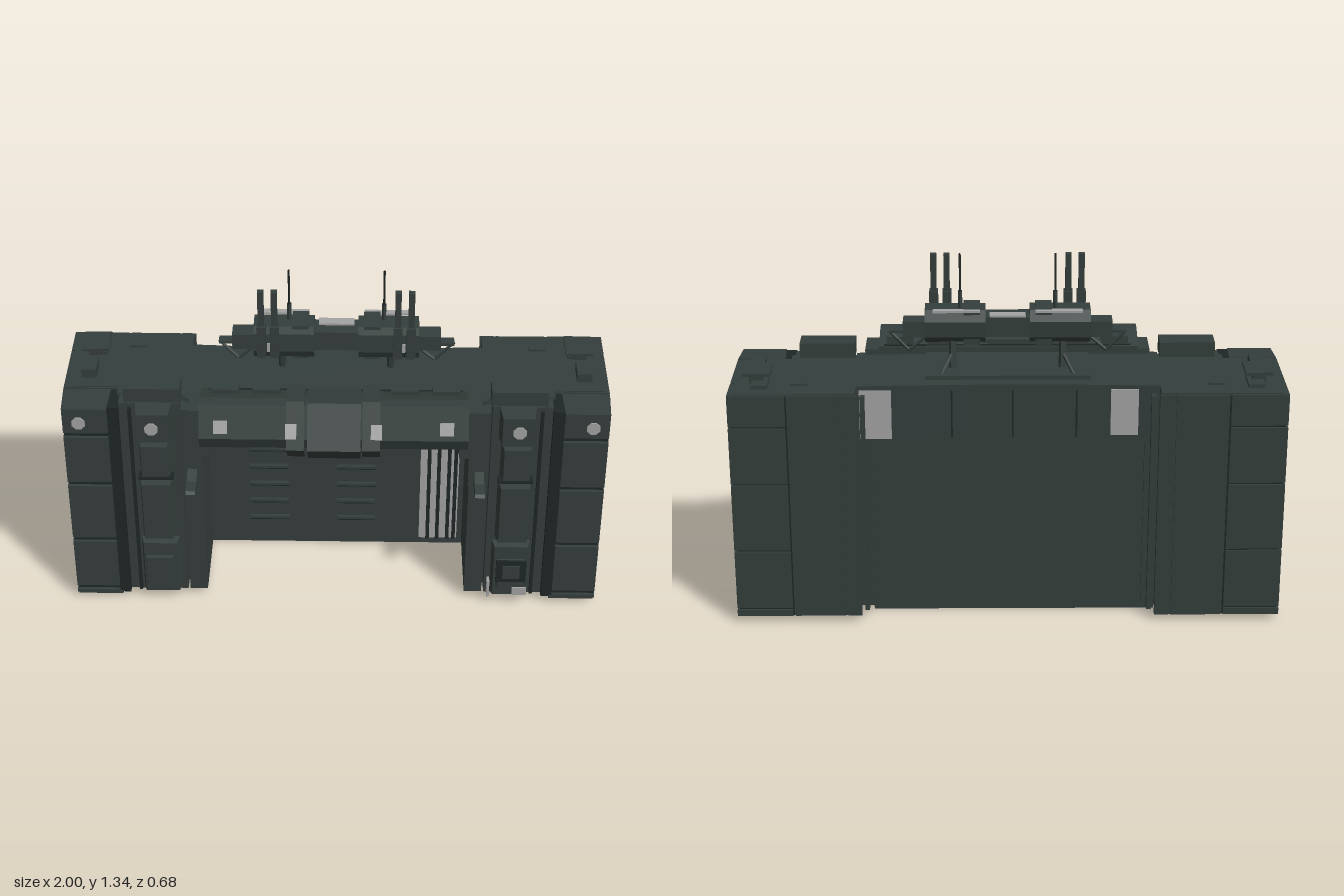
import * as THREE from 'three';

const mat = (name, color) => {
  const m = new THREE.MeshStandardMaterial({ color, side: THREE.DoubleSide, flatShading: true });
  m.name = name;
  return m;
};

export function createModel() {
  const root = new THREE.Group();
  const armor = mat('dark green grey armor', 0x343e3c);
  const seam = mat('dark seam', 0x1f2625);
  const pale = mat('pale grey', 0xa3a3a3);

  const add = (name, geo, m = armor) => {
    const mesh = new THREE.Mesh(geo, m);
    mesh.name = name;
    root.add(mesh);
    return mesh;
  };
  // Box given by its extents
  const box = (name, x0, x1, y0, y1, z0, z1, m) =>
    add(name, new THREE.BoxGeometry(Math.abs(x1 - x0), y1 - y0, z1 - z0)
      .translate((x0 + x1) / 2, (y0 + y1) / 2, (z0 + z1) / 2), m);
  // The same box on both sides
  const pair = (name, x0, x1, ...rest) => {
    for (const s of [-1, 1]) box(name, s * x0, s * x1, ...rest);
  };
  // Box whose front face is chamfered inward by c
  const panel = (name, x0, x1, y0, y1, z0, z1, c = 0.012) => {
    const w = x1 - x0, h = y1 - y0;
    for (const s of [-1, 1]) {
      const g = new THREE.BoxGeometry(w, h, z1 - z0);
      const p = g.attributes.position;
      for (let i = 0; i < p.count; i++) {
        if (p.getZ(i) > 0) p.setXY(i, p.getX(i) * (1 - 2 * c / w), p.getY(i) * (1 - 2 * c / h));
      }
      g.computeVertexNormals();
      add(name, g.translate(s * (x0 + x1) / 2, (y0 + y1) / 2, (z0 + z1) / 2));
    }
  };
  // Side profile in (z, y), extruded from x0 to x1
  const profile = (name, pts, x0, x1, m) => {
    const shape = new THREE.Shape(pts.map(([z, y]) => new THREE.Vector2(z, y)));
    const g = new THREE.ExtrudeGeometry(shape, { depth: x1 - x0, bevelEnabled: false });
    return add(name, g.rotateY(-Math.PI / 2).translate(x1, 0, 0), m);
  };
  const tube = (name, a, b, r, sides = 6, m = armor) => {
    const p = new THREE.Vector3(...a), q = new THREE.Vector3(...b);
    return add(name, new THREE.TubeGeometry(new THREE.LineCurve3(p, q), 1, r, sides), m);
  };

  // Outer towers: dark core clad in a grid of plates
  pair('towerCore', 0.79, 0.992, 0.025, 0.89, -0.332, 0.155, seam);
  const rows = [[0.025, 0.05], [0.058, 0.285], [0.293, 0.548], [0.556, 0.77], [0.778, 0.896]];
  const cols = [[-0.34, -0.214], [-0.206, 0.036]];
  for (const [y0, y1] of rows) {
    for (const [z0, z1] of cols) pair('towerPlate', 0.795, 1, y0, y1, z0, z1);
    panel('towerFrontPlate', 0.825, 1, y0, y1, 0.044, 0.167, 0.006);
  }
  pair('towerCap', 0.8, 0.985, 0.89, 0.9, -0.33, 0.03);
  pair('towerBase', 0.82, 0.99, 0.02, 0.03, -0.33, 0.16);

  // Inner towers with back plates
  pair('innerTower', 0.545, 0.8, 0.022, 0.9, -0.33, 0.075);
  pair('innerTowerWall', 0.495, 0.56, 0.022, 0.9, -0.25, 0.09);
  pair('towerBackPlate', 0.6, 0.785, 0.025, 0.895, -0.34, -0.32);
  pair('towerBackEdge', 0.54, 0.592, 0.025, 0.895, -0.34, -0.32);
  pair('cornerPost', 0.515, 0.532, 0.02, 0.87, -0.285, -0.24);

  // Front piers
  pair('pierBody', 0.57, 0.79, 0.025, 0.895, 0.05, 0.13);
  pair('pierInnerEdge', 0.495, 0.562, 0.025, 0.72, 0.05, 0.13);
  pair('pierInnerCap', 0.49, 0.565, 0.55, 0.88, 0.05, 0.15);
  panel('pierTop', 0.595, 0.73, 0.76, 0.9, 0.12, 0.2, 0.01);
  panel('pierUpperPanel', 0.605, 0.725, 0.59, 0.75, 0.12, 0.185);
  panel('pierMiddlePanel', 0.6, 0.73, 0.3, 0.575, 0.12, 0.185);
  panel('pierLowerPanel', 0.59, 0.74, 0.03, 0.285, 0.12, 0.165);
  panel('pierFoot', 0.605, 0.73, 0.07, 0.225, 0.12, 0.18);
  pair('pierSeam', 0.6, 0.73, 0.577, 0.588, 0.12, 0.17, seam);
  pair('pierRail', 0.745, 0.757, 0.03, 0.88, 0.12, 0.145, seam);
  pair('pierRecess', 0.79, 0.825, 0.03, 0.88, 0.06, 0.082, seam);
  box('pierHatch', 0.61, 0.725, 0.12, 0.22, 0.178, 0.187, seam);
  box('pierHatchCover', 0.635, 0.7, 0.14, 0.2, 0.185, 0.193);
  box('footLamp', 0.675, 0.73, 0.055, 0.09, 0.178, 0.186, pale);
  box('footMarker', 0.58, 0.59, 0.03, 0.1, 0.13, 0.167, pale);
  for (const s of [-1, 1]) {
    const x = s * 0.53;
    profile('lever', [[0.14, 0.55], [0.21, 0.555], [0.27, 0.585], [0.26, 0.595], [0.2, 0.595], [0.14, 0.62]], x - 0.018, x + 0.018);
  }

  // Lintel with a shallow curved back edge
  const roof = new THREE.Shape();
  roof.moveTo(-0.55, -0.1);
  roof.lineTo(0.55, -0.1);
  roof.lineTo(0.55, 0.255);
  roof.quadraticCurveTo(0, 0.225, -0.55, 0.255);
  add('lintel', new THREE.ExtrudeGeometry(roof, { depth: 0.2, bevelEnabled: false, curveSegments: 8 })
    .rotateX(-Math.PI / 2).translate(0, 0.7, 0));
  box('lintelBackPatch', 0.42, 0.535, 0.7, 0.885, -0.262, -0.255, pale);
  box('lintelBackPatch', -0.47, -0.37, 0.71, 0.885, -0.256, -0.249, pale);
  for (const x of [-0.25, -0.02, 0.2]) box('lintelSeam', x, x + 0.006, 0.7, 0.88, -0.25, -0.235, seam);

  // Door with slits and pale side rails
  box('door', -0.545, 0.5, 0, 0.71, -0.235, -0.2);
  for (let i = 0; i < 5; i++) {
    const y = 0.115 + i * 0.083;
    for (const x of [-0.34, 0]) {
      box('doorSlit', x, x + 0.15, y, y + 0.01, -0.2, -0.193, seam);
      box('doorRib', x, x + 0.15, y + 0.01, y + 0.02, -0.2, -0.185);
    }
  }
  box('doorSidePlate', 0.325, 0.475, 0.03, 0.67, -0.2, -0.194, pale);
  for (const x of [0.352, 0.39, 0.43, 0.455]) box('doorSideRail', x, x + 0.014, 0.03, 0.665, -0.2, -0.188, seam);
  box('doorTopPlate', -0.485, 0.475, 0.665, 0.7, -0.2, -0.194, pale);
  for (let i = 0; i < 6; i++) {
    const x = -0.4 + i * 0.125;
    box('doorTopTooth', x, x + 0.1, 0.655, 0.682 + (i % 2) * 0.008, -0.2, -0.19);
  }

  // Canopy over the entrance
  profile('canopy', [[0.08, 0.74], [0.2, 0.76], [0.265, 0.8], [0.285, 0.85], [0.235, 0.965], [0.19, 0.965], [0.08, 0.93]], -0.488, 0.478);
  profile('canopyCenter', [[0.1, 0.72], [0.23, 0.73], [0.34, 0.84], [0.25, 0.985], [0.1, 0.95]], -0.098, 0.092);
  for (const x of [-0.142, 0.13]) {
    profile('canopyBracket', [[0.1, 0.72], [0.2, 0.715], [0.33, 0.835], [0.245, 0.99], [0.1, 0.965]], x - 0.032, x + 0.032);
  }
  for (const x of [-0.41, 0.4]) {
    profile('canopyLamp', [[0.279, 0.87], [0.286, 0.873], [0.267, 0.917], [0.26, 0.914]], x - 0.025, x + 0.025, pale);
  }
  for (const x of [-0.157, 0.148]) {
    profile('bracketLamp', [[0.308, 0.87], [0.315, 0.874], [0.288, 0.921], [0.281, 0.917]], x - 0.02, x + 0.02, pale);
  }
  for (const s of [-1, 1]) {
    for (const x of [0.2, 0.35]) box('canopyRoofRib', s * x, s * (x + 0.1), 0.93, 0.965, 0.09, 0.14);
  }
  box('canopyRoofGap', -0.46, 0.46, 0.9, 0.935, 0.085, 0.13, seam);
  pair('lintelFrontBlock', 0.45, 0.53, 0.72, 0.92, 0.08, 0.21);

  // Tower lamps
  const lamp = (x, y, z) => add('towerLamp', new THREE.CylinderGeometry(0.026, 0.026, 0.008, 8)
    .rotateX(Math.PI / 2).rotateZ(Math.PI / 8).translate(x, y, z), pale);
  for (const s of [-1, 1]) {
    lamp(s * 0.935, 0.83, 0.169);
    lamp(s * 0.667, 0.83, 0.202);
  }

  // Rooftop boxes and raised plates
  pair('roofBlock', 0.565, 0.77, 0.9, 0.957, 0.04, 0.13);
  pair('roofHatch', 0.86, 0.92, 0.9, 0.912, -0.28, -0.18);
  pair('roofHatch', 0.72, 0.78, 0.9, 0.908, -0.25, -0.23);
  pair('roofPlate', 0.85, 0.95, 0.94, 0.95, -0.26, -0.14);
  pair('roofPlateLeg', 0.88, 0.93, 0.9, 0.942, -0.225, -0.175);
  pair('roofVent', 0.885, 0.94, 0.9, 0.935, -0.115, -0.025);

  // Sensor bridge on the roof
  box('bridgeBase', -0.3, 0.3, 0.9, 0.915, -0.19, 0.06);
  for (const s of [-1, 1]) {
    tube('bridgeLeg', [s * 0.2, 0.91, -0.1], [s * 0.2, 1.04, -0.08], 0.014);
    tube('bridgeBrace', [s * 0.24, 0.91, -0.17], [s * 0.2, 0.97, -0.09], 0.008);
    profile('bridgePod', [[-0.13, 1.04], [-0.09, 1.01], [0, 1.02], [0.015, 1.05], [0.01, 1.12], [-0.02, 1.135], [-0.1, 1.135], [-0.135, 1.1]],
      s * 0.19 - 0.11, s * 0.19 + 0.11);
    pair('podCollar', 0.1, 0.16, 1.005, 1.142, -0.115, -0.01);
    box('podEnd', s * 0.3, s * 0.38, 1.03, 1.09, -0.1, -0.03);
    box('podPlate', s * 0.1, s * 0.27, 1.133, 1.141, -0.13, -0.105, pale);
    box('podFace', s * 0.215, s * 0.25, 1.05, 1.085, 0.01, 0.018, pale);
    // Outrigger wing
    box('wingBar', s * 0.3, s * 0.43, 1.042, 1.052, -0.085, -0.045);
    tube('wingStrut', [s * 0.43, 1.045, -0.065], [s * 0.36, 0.97, -0.065], 0.006, 4);
    tube('wingStrut', [s * 0.36, 0.97, -0.065], [s * 0.29, 1.03, -0.065], 0.006, 4);
    // Twin masts and whip antenna
    for (const x of [0.222, 0.27]) {
      box('mast', s * (x - 0.011), s * (x + 0.011), 1.09, 1.31, 0.01, 0.036);
      box('mastFoot', s * (x - 0.016), s * (x + 0.016), 1.04, 1.17, 0, 0.045);
    }
    tube('antenna', [s * 0.172, 1.12, -0.075], [s * 0.172, 1.34, -0.075], 0.004, 5, seam);
    tube('antennaFoot', [s * 0.172, 1.12, -0.075], [s * 0.172, 1.2, -0.075], 0.009);
  }
  box('bridgeLink', -0.09, 0.09, 1.035, 1.11, -0.11, -0.02);
  box('bridgeLinkPlate', -0.065, 0.065, 1.11, 1.117, -0.11, -0.07, pale);

  return root;
}
